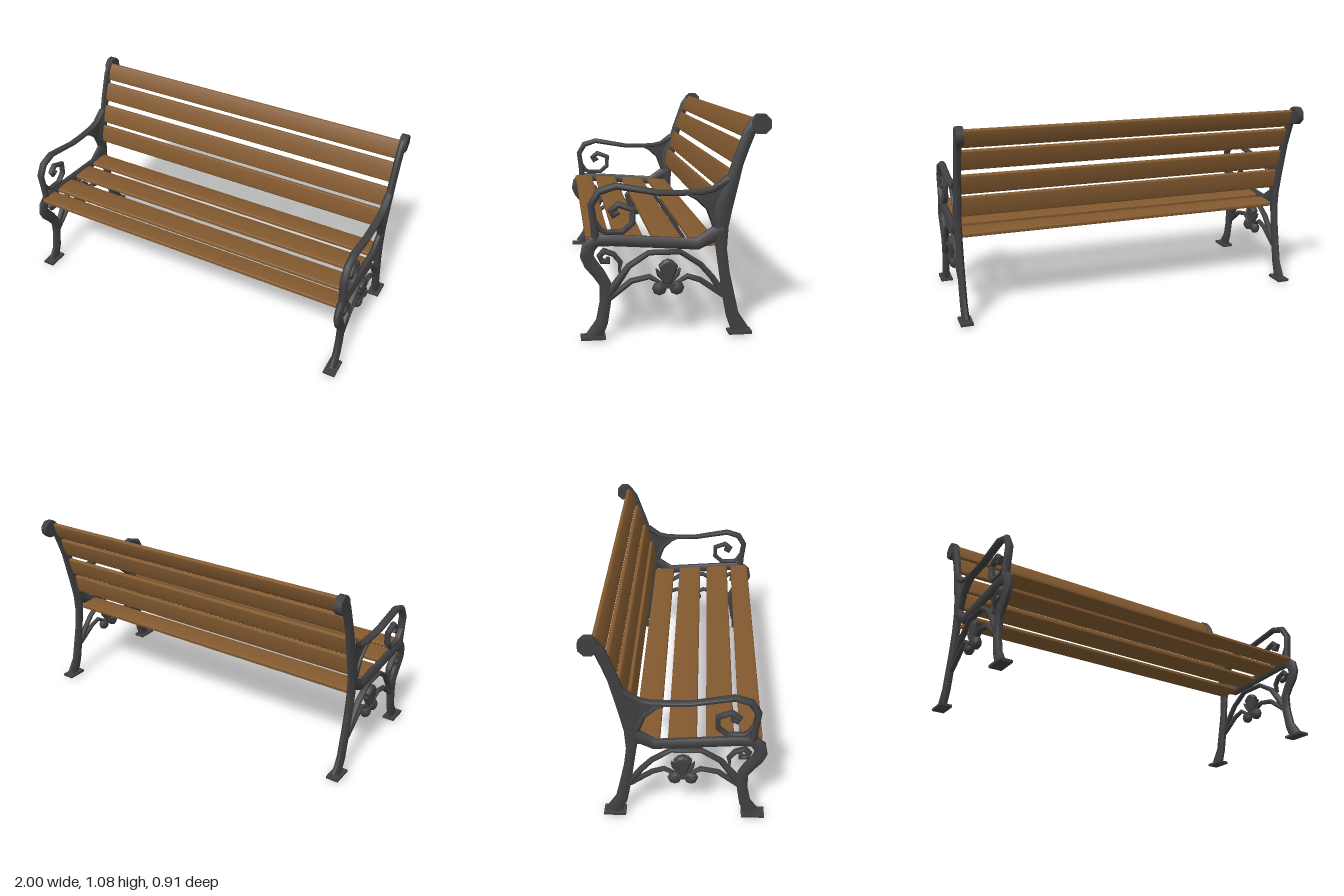
import * as THREE from 'three';
import { toCreasedNormals } from 'three/addons/utils/BufferGeometryUtils.js';

const iron = new THREE.MeshStandardMaterial({ color: 0x404042 });
iron.name = 'cast iron';
const wood = new THREE.MeshStandardMaterial({ color: 0x82592f });
wood.name = 'brown wood';

// Cast bar through [z, y, halfWidth] points, with an eight-sided section of half depth d along x
function bar(points, d) {
  const N = 8, k = 1 / Math.cos(Math.PI / 8), pos = [], idx = [];
  const c = points.map(([z, y]) => new THREE.Vector2(z, y));
  const dir = (i) => c[i + 1].clone().sub(c[i]).normalize();
  points.forEach(([z, y, w], i) => {
    const a = dir(Math.max(i - 1, 0)), b = dir(Math.min(i, c.length - 2));
    const t = a.clone().add(b).normalize();
    const miter = 1 / Math.max(t.dot(a), 0.75);
    for (let j = 0; j < N; j++) {
      const ang = ((j + 0.5) / N) * Math.PI * 2;
      const n = w * k * Math.cos(ang) * miter;
      pos.push(d * k * Math.sin(ang), y - t.x * n, z + t.y * n);
    }
  });
  const last = (points.length - 1) * N;
  for (let i = 0; i < last; i += N) {
    for (let j = 0; j < N; j++) {
      const a = i + j, b = i + ((j + 1) % N);
      idx.push(a, b, b + N, a, b + N, a + N);
    }
  }
  for (let j = 1; j < N - 1; j++) {
    idx.push(0, j + 1, j, last, last + j, last + j + 1);
  }
  const g = new THREE.BufferGeometry();
  g.setAttribute('position', new THREE.Float32BufferAttribute(pos, 3));
  g.setIndex(idx);
  return toCreasedNormals(g, 0.9);
}

// Flat outline in (z, y), extruded along x about the middle
function plate(outline, depth, bevel) {
  const g = new THREE.ExtrudeGeometry(new THREE.Shape(outline.map(([z, y]) => new THREE.Vector2(z, y))), {
    depth, bevelEnabled: bevel > 0, bevelThickness: bevel, bevelSize: bevel, bevelOffset: -bevel, bevelSegments: 1,
  });
  return g.translate(0, 0, -depth / 2).rotateY(-Math.PI / 2);
}

function box(w, h, d, y, z) {
  return new THREE.BoxGeometry(w, h, d).translate(0, y, z);
}

// Faceted lobe of the flower, flattened along z and y equally
function lobe(z, y, r) {
  const g = new THREE.SphereGeometry(r, 8, 6).rotateZ(Math.PI / 2);
  return g.scale(0.75, 1, 1).translate(0, y, z);
}

function frameParts() {
  const mid = 0.035;
  const leaf = (s) => bar([[mid + s * 0.058, 0.335, 0.004], [mid + s * 0.044, 0.31, 0.012], [mid + s * 0.012, 0.265, 0.007]], 0.014);
  return {
    frontLegAndSeatRail: bar([
      [0.395, 0.01, 0.039], [0.357, 0.083, 0.029], [0.34, 0.18, 0.027], [0.34, 0.272, 0.027],
      [0.371, 0.324, 0.03], [0.409, 0.372, 0.032], [0.426, 0.41, 0.031], [0.417, 0.453, 0.032],
      [0.385, 0.484, 0.028], [0.306, 0.484, 0.027], [0.106, 0.47, 0.027], [-0.106, 0.455, 0.027],
      [-0.18, 0.497, 0.034], [-0.232, 0.53, 0.034]], 0.019),
    backLegAndPost: bar([
      [-0.325, 0.01, 0.042], [-0.283, 0.095, 0.031], [-0.26, 0.203, 0.029], [-0.24, 0.31, 0.025],
      [-0.224, 0.424, 0.026], [-0.217, 0.539, 0.039], [-0.234, 0.64, 0.042], [-0.272, 0.754, 0.031],
      [-0.297, 0.845, 0.027], [-0.326, 0.926, 0.027], [-0.351, 0.994, 0.028], [-0.39, 1.043, 0.032]], 0.019),
    postKnob: new THREE.CylinderGeometry(0.051, 0.051, 0.04, 8).rotateZ(Math.PI / 2).rotateX(Math.PI / 8).translate(0, 1.029, -0.406),
    frontFoot: box(0.068, 0.014, 0.12, 0.007, 0.4),
    backFoot: box(0.068, 0.014, 0.115, 0.007, -0.32),
    armrest: bar([
      [0.383, 0.49, 0.02], [0.391, 0.567, 0.017], [0.403, 0.656, 0.016], [0.366, 0.719, 0.017],
      [0.286, 0.745, 0.016], [0.077, 0.708, 0.014], [-0.023, 0.705, 0.013], [-0.123, 0.708, 0.014],
      [-0.18, 0.72, 0.014], [-0.255, 0.77, 0.02]], 0.02),
    armBrace: bar([[-0.05, 0.702, 0.006], [-0.1, 0.683, 0.012], [-0.155, 0.635, 0.012], [-0.195, 0.55, 0.02]], 0.018),
    armWeb: plate([[-0.06, 0.705], [-0.17, 0.6], [-0.24, 0.6], [-0.26, 0.77], [-0.17, 0.725]], 0.016, 0),
    armScroll: bar([
      [0.392, 0.6, 0.006], [0.36, 0.538, 0.012], [0.334, 0.524, 0.012], [0.254, 0.524, 0.012],
      [0.207, 0.565, 0.013], [0.206, 0.63, 0.013], [0.274, 0.656, 0.014], [0.309, 0.627, 0.014],
      [0.298, 0.606, 0.013], [0.272, 0.62, 0.012]], 0.016),
    legScroll: bar([
      [0.272, 0.325, 0.004], [0.266, 0.375, 0.011], [0.297, 0.415, 0.012], [0.343, 0.433, 0.013],
      [0.366, 0.41, 0.012], [0.354, 0.383, 0.012], [0.326, 0.382, 0.012], [0.325, 0.4, 0.01]], 0.016),
    upperArch: bar([
      [0.325, 0.215, 0.022], [0.226, 0.355, 0.014], [0.129, 0.418, 0.012], [-0.023, 0.418, 0.012],
      [-0.123, 0.352, 0.013], [-0.18, 0.287, 0.014], [-0.235, 0.205, 0.017]], 0.016),
    lowerArchFront: bar([[0.325, 0.193, 0.013], [0.214, 0.281, 0.013], [0.126, 0.299, 0.012], [0.055, 0.258, 0.005]], 0.014),
    lowerArchBack: bar([[0.01, 0.258, 0.005], [-0.06, 0.296, 0.012], [-0.123, 0.275, 0.013], [-0.235, 0.195, 0.013]], 0.014),
    flowerFan: plate([[0.082, 0.352], [0.062, 0.374], [mid, 0.384], [0.01, 0.374], [-0.012, 0.35], [0.02, 0.26], [0.05, 0.26]].reverse(), 0.02, 0.01),
    flowerBand: box(0.046, 0.018, 0.08, 0.253, mid),
    flowerLobeFront: lobe(0.077, 0.24, 0.037),
    flowerLobeBack: lobe(-0.007, 0.24, 0.037),
    flowerLeafFront: leaf(1),
    flowerLeafBack: leaf(-1),
  };
}

// Long slat with gently crowned faces and rounded edges
function slatGeometry(width) {
  const h = width / 2, s = new THREE.Shape();
  s.moveTo(-h, -0.005);
  s.quadraticCurveTo(-h, -0.011, -h + 0.01, -0.012);
  s.quadraticCurveTo(0, -0.018, h - 0.01, -0.012);
  s.quadraticCurveTo(h, -0.011, h, -0.005);
  s.lineTo(h, 0.005);
  s.quadraticCurveTo(h, 0.011, h - 0.01, 0.012);
  s.quadraticCurveTo(0, 0.018, -h + 0.01, 0.012);
  s.quadraticCurveTo(-h, 0.011, -h, 0.005);
  const g = new THREE.ExtrudeGeometry(s, { depth: 1.894, bevelEnabled: false, curveSegments: 4 });
  return toCreasedNormals(g.translate(0, 0, -0.947).rotateY(-Math.PI / 2), 0.6);
}

export function createModel() {
  const model = new THREE.Group();
  model.name = 'parkBench';

  // Two identical cast end frames
  const parts = frameParts();
  for (const [side, x] of [['left', 0.965], ['right', -0.965]]) {
    const frame = new THREE.Group();
    frame.name = side + 'Frame';
    frame.position.x = x;
    for (const [name, geometry] of Object.entries(parts)) {
      const mesh = new THREE.Mesh(geometry, iron);
      mesh.name = name;
      frame.add(mesh);
    }
    model.add(frame);
  }

  const addSlat = (name, z, y, width, tilt) => {
    const slat = new THREE.Mesh(slatGeometry(width), wood);
    slat.name = name;
    slat.position.set(0, y, z);
    slat.rotation.x = tilt;
    model.add(slat);
  };

  // Seat slats, sloping gently down to the back: z, y, width
  [[0.373, 0.488, 0.115], [0.22, 0.478, 0.14], [0.032, 0.466, 0.145], [-0.145, 0.454, 0.13]]
    .forEach(([z, y, w], i) => addSlat('seatSlat' + (i + 1), z, y, w, -0.065));

  // Backrest slats: z, y, width, lean
  [[-0.229, 0.62, 0.113, 0.18], [-0.267, 0.748, 0.113, 0.3], [-0.312, 0.887, 0.114, 0.34], [-0.363, 1.007, 0.105, 0.42]]
    .forEach(([z, y, w, lean], i) => addSlat('backSlat' + (i + 1), z, y, w, -(Math.PI / 2 + lean)));

  return model;
}
